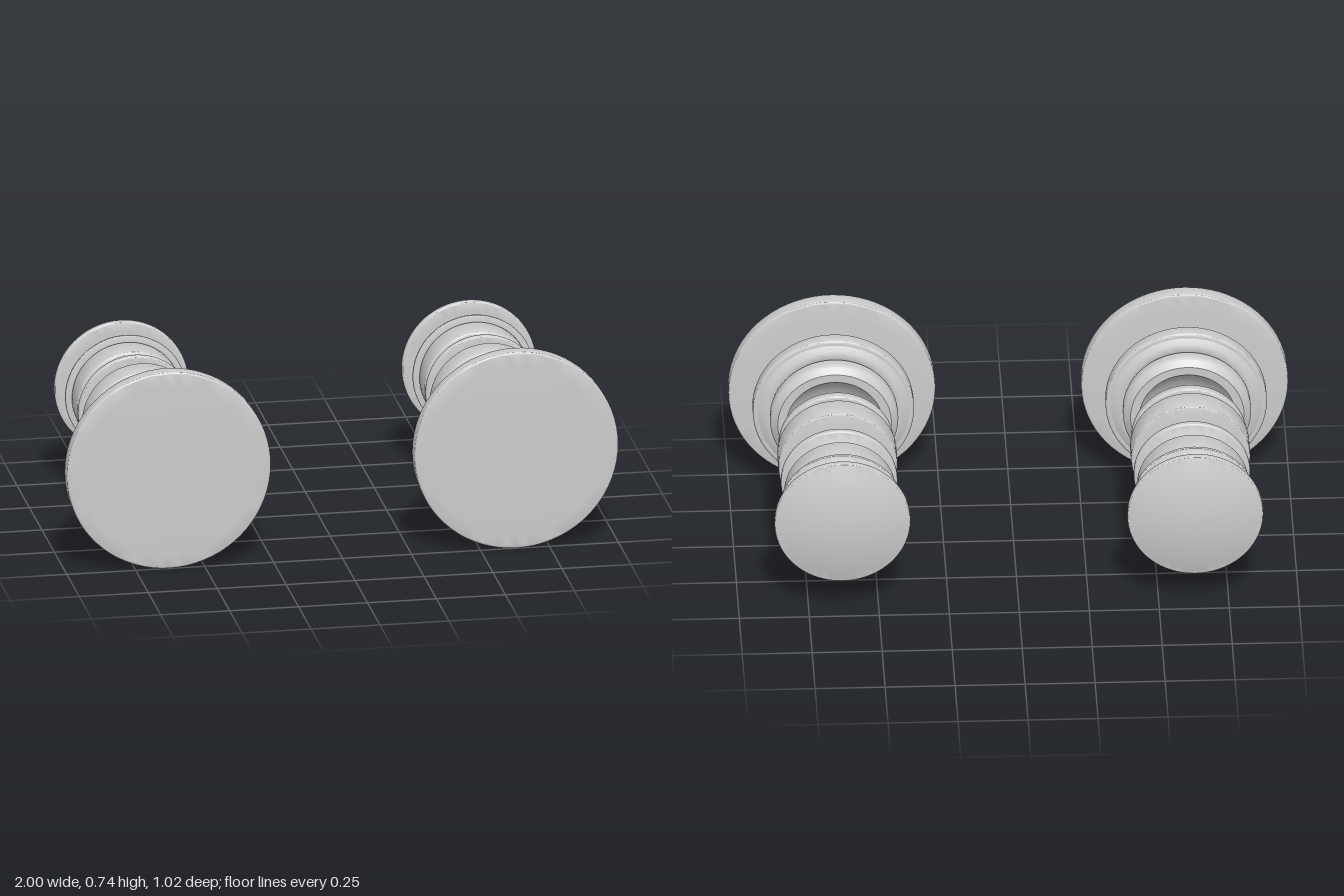
import * as THREE from 'three';
import { toCreasedNormals } from 'three/addons/utils/BufferGeometryUtils.js';

const material = new THREE.MeshStandardMaterial({ color: 0xcccccc });

// Turns a profile of (radius, z), running from back to front, about the z axis.
function turn(path) {
  const geometry = new THREE.LatheGeometry(path.getPoints(8), 72);
  geometry.rotateX(Math.PI / 2);
  return toCreasedNormals(geometry, 0.5);
}

// Lens with a domed or flat face at each end and softly rounded rim corners.
function lens(r, backApex, backEdge, frontEdge, frontApex, bevel = 0.008) {
  const inner = r - bevel;
  const p = new THREE.Path();
  p.moveTo(0, backApex);
  p.quadraticCurveTo(inner / 2, backApex, inner, backEdge);
  p.quadraticCurveTo(r, backEdge, r, backEdge + bevel);
  p.lineTo(r, frontEdge - bevel);
  p.quadraticCurveTo(r, frontEdge, inner, frontEdge);
  p.quadraticCurveTo(inner / 2, frontApex, 0, frontApex);
  return turn(p);
}

// Large domed lens with a stepped shoulder and a hollow back.
function shoulderedLens() {
  const p = new THREE.Path();
  p.moveTo(0, 0.36);
  p.quadraticCurveTo(0.11, 0.36, 0.22, 0.297);
  p.lineTo(0.243, 0.297);
  p.quadraticCurveTo(0.258, 0.303, 0.27, 0.31);
  p.lineTo(0.278, 0.31);
  p.quadraticCurveTo(0.288, 0.311, 0.288, 0.318);
  p.lineTo(0.288, 0.355);
  p.quadraticCurveTo(0.288, 0.364, 0.276, 0.368);
  p.quadraticCurveTo(0.138, 0.43, 0, 0.43);
  return turn(p);
}

// Cup-shaped lens: rounded rim, flat back ring and a deep concave bowl.
function cupLens() {
  const p = new THREE.Path();
  p.moveTo(0, 0.31);
  p.quadraticCurveTo(0.11, 0.31, 0.172, 0.219);
  p.lineTo(0.203, 0.219);
  p.lineTo(0.223, 0.239);
  p.quadraticCurveTo(0.229, 0.245, 0.229, 0.252);
  p.lineTo(0.229, 0.278);
  p.quadraticCurveTo(0.229, 0.29, 0.205, 0.295);
  p.quadraticCurveTo(0.1, 0.347, 0, 0.347);
  return turn(p);
}

export function createModel() {
  const model = new THREE.Group();

  // Elements from front to back
  const elements = {
    frontPlate: lens(0.37, 0.435, 0.447, 0.505, 0.509, 0.01),
    largeDomedLens: shoulderedLens(),
    cupLens: cupLens(),
    innerDomedLens: lens(0.206, 0.062, 0.062, 0.098, 0.13, 0.01),
    thickLens: lens(0.213, -0.088, -0.073, 0.029, 0.029),
    middleThinLens: lens(0.208, -0.227, -0.185, -0.159, -0.159),
    cylinderLens: lens(0.199, -0.354, -0.354, -0.235, -0.235, 0.012),
    rearDomedLens: lens(0.22, -0.435, -0.371, -0.358, -0.358, 0.005),
    rearCapLens: lens(0.243, -0.509, -0.472, -0.445, -0.445)
  };

  // Two matching stacks side by side
  for (const side of [-1, 1]) {
    const stack = new THREE.Group();
    stack.name = side > 0 ? 'leftLensStack' : 'rightLensStack';
    stack.position.set(side * 0.63, 0.37, 0);
    for (const [name, geometry] of Object.entries(elements)) {
      const mesh = new THREE.Mesh(geometry, material);
      mesh.name = name;
      stack.add(mesh);
    }
    model.add(stack);
  }
  return model;
}
